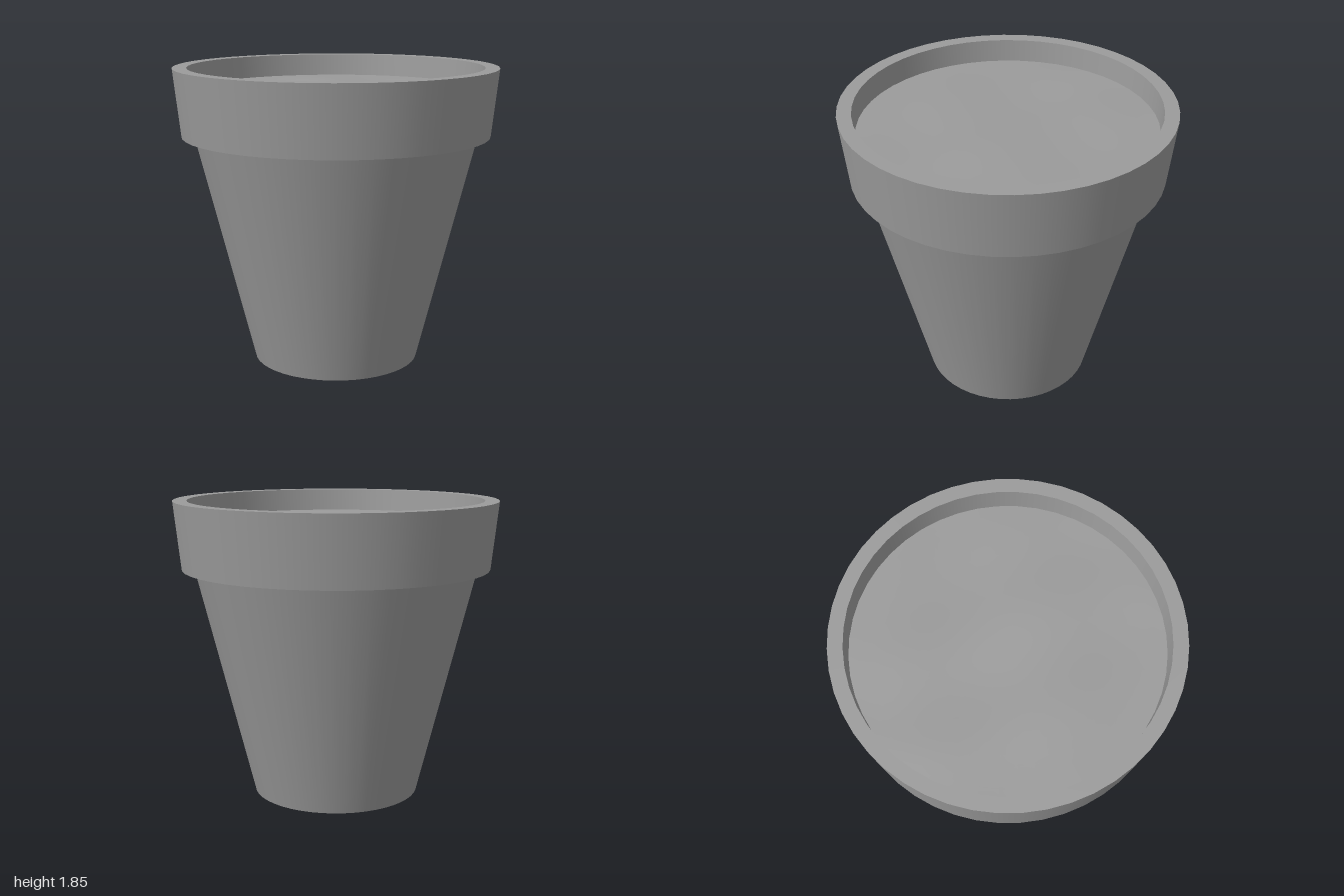
import * as THREE from 'three';
import { mergeVertices } from 'three/addons/utils/BufferGeometryUtils.js';

const SIDES = 48;

export function createModel() {
  const model = new THREE.Group();
  const grey = new THREE.MeshStandardMaterial({ color: 0x9b9b9b });

  // One lathe per straight stretch keeps the edges sharp and the sides smooth
  const band = (name, from, to) => {
    const points = [from, to].map(([r, y]) => new THREE.Vector2(r, y));
    const mesh = new THREE.Mesh(new THREE.LatheGeometry(points, SIDES), grey);
    mesh.name = name;
    model.add(mesh);
  };

  // Pot profile, from the base up the outside and down the inside
  const profile = [
    [0, 0], [0.52, 0], [0.877, 1.432], [0.955, 1.432],
    [1, 1.85], [0.913, 1.85], [0.898, 1.68],
  ];
  const names = ['base', 'body', 'rimUnderside', 'rim', 'rimTop', 'innerWall'];
  names.forEach((name, i) => band(name, profile[i], profile[i + 1]));

  // Soil: a disc with gentle lumps that fade towards the wall
  const radius = 0.901;
  let disc = new THREE.RingGeometry(0, radius, SIDES, 14).rotateX(-Math.PI / 2);
  disc.deleteAttribute('uv');
  disc.deleteAttribute('normal');
  const p = disc.attributes.position;
  for (let i = 0; i < p.count; i++) {
    const x = p.getX(i), z = p.getZ(i);
    const fade = 1 - (Math.hypot(x, z) / radius) ** 4;
    const lump = Math.sin(4.2 * x + 1.3 * z) * Math.cos(5.1 * z - 1.7 * x) + 0.5 * Math.sin(9 * x - 6 * z);
    p.setY(i, 0.009 * lump * fade);
  }
  disc = mergeVertices(disc, 1e-4);
  disc.computeVertexNormals();
  const soil = new THREE.Mesh(disc, grey);
  soil.name = 'soil';
  soil.position.y = 1.71;
  model.add(soil);

  return model;
}
